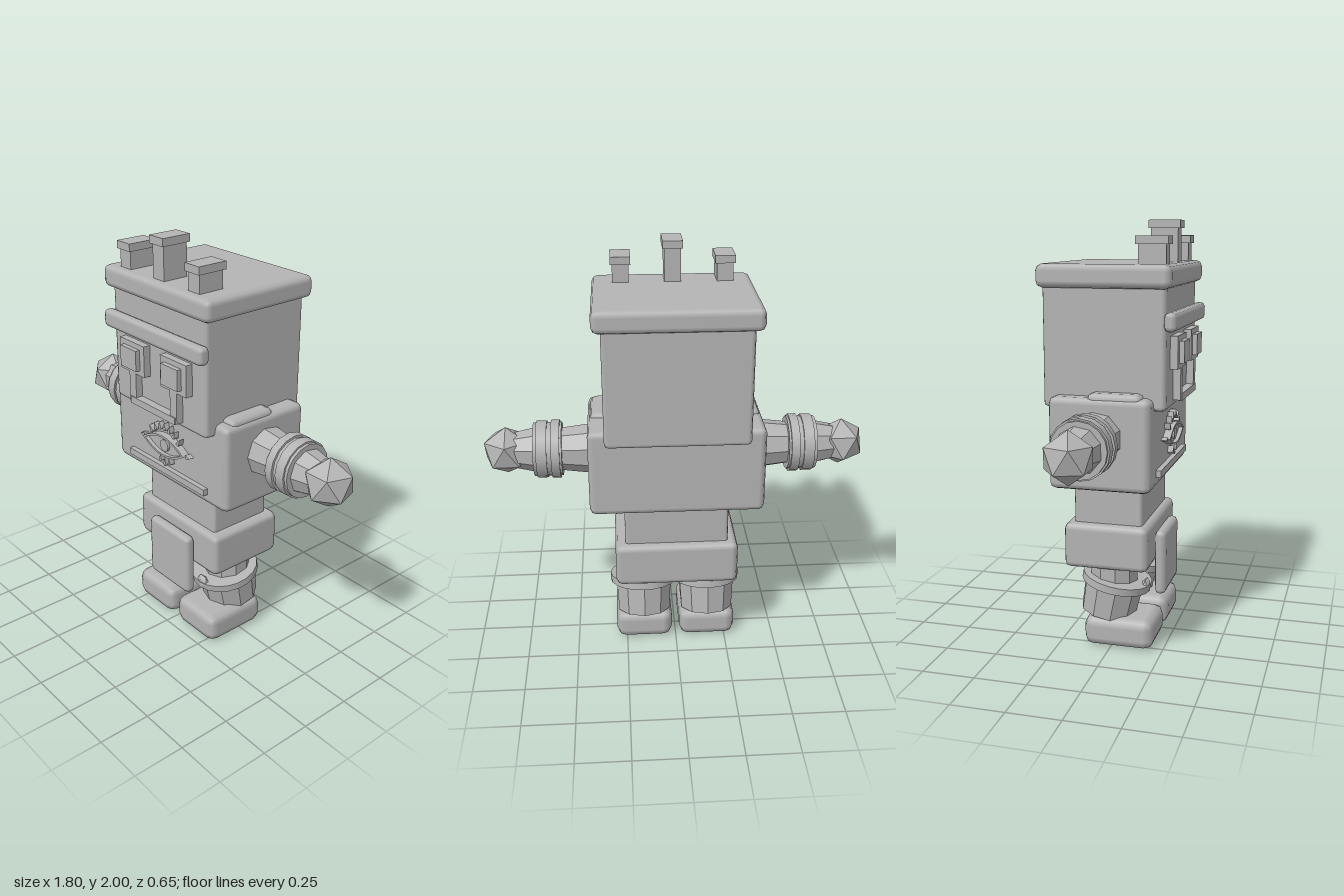
import * as THREE from 'three';
import { RoundedBoxGeometry } from 'three/addons/geometries/RoundedBoxGeometry.js';

const grey = new THREE.MeshStandardMaterial({ color: 0xb4b4b4 });
grey.name = 'grey';

export function createModel() {
  const root = new THREE.Group();
  root.name = 'robot';

  const add = (name, geometry, x = 0, y = 0, z = 0, parent = root) => {
    const mesh = new THREE.Mesh(geometry, grey);
    mesh.name = name;
    mesh.position.set(x, y, z);
    parent.add(mesh);
    return mesh;
  };
  // Box given by its limits on each axis, chamfered when bevel > 0
  const block = (name, [x0, x1], [y0, y1], [z0, z1], bevel = 0, parent = root) => {
    const size = [x1 - x0, y1 - y0, z1 - z0];
    const geometry = bevel
      ? new RoundedBoxGeometry(...size, 1, bevel)
      : new THREE.BoxGeometry(...size);
    return add(name, geometry, (x0 + x1) / 2, (y0 + y1) / 2, (z0 + z1) / 2, parent);
  };
  const plate = (name, shape, depth, x, y, z) =>
    add(name, new THREE.ExtrudeGeometry(shape, { depth, bevelEnabled: false, curveSegments: 8 }), x, y, z);
  const faceted = (geometry) => {
    const g = geometry.index ? geometry.toNonIndexed() : geometry;
    g.computeVertexNormals();
    return g;
  };

  // Head with lid and brow band
  block('head', [-0.335, 0.335], [1.165, 1.73], [-0.3, 0.27], 0.02);
  block('headLid', [-0.375, 0.375], [1.705, 1.81], [-0.322, 0.298], 0.03);
  block('browBand', [-0.355, 0.355], [1.52, 1.605], [0.262, 0.318], 0.022);

  // Chimneys on the lid
  for (const [x, top] of [[-0.243, 1.93], [0, 2], [0.24, 1.93]]) {
    block('chimney', [x - 0.038, x + 0.038], [1.79, top - 0.03], [0.13, 0.257]);
    block('chimneyCap', [x - 0.047, x + 0.047], [top - 0.036, top], [0.12, 0.268]);
  }

  // Face: eye plates joined to the mouth by two bars
  for (const s of [-1, 1]) {
    const span = (a, b) => (s > 0 ? [a, b] : [-b, -a]);
    block('eyePlate', span(0.06, 0.243), [1.345, 1.495], [0.25, 0.305]);
    block('pupil', span(0.092, 0.21), [1.37, 1.47], [0.3, 0.328]);
    block('cheekBar', span(0.127, 0.175), [1.195, 1.345], [0.25, 0.305]);
  }
  block('mouth', [-0.165, 0.165], [1.19, 1.224], [0.25, 0.31]);

  // Torso and shoulder pads
  block('torso', [-0.412, 0.412], [0.8, 1.225], [-0.255, 0.218], 0.03);
  for (const s of [-1, 1])
    block('shoulderPad', s > 0 ? [0.24, 0.4] : [-0.4, -0.24], [1.1, 1.246], [-0.08, 0.175], 0.03);
  block('chestBar', [-0.285, 0.285], [0.854, 0.886], [0.2, 0.243]);

  // Eye emblem on the chest
  const lens = (w, h) => {
    const s = new THREE.Shape();
    s.moveTo(-w, 0);
    s.quadraticCurveTo(0, -h * 2, w, 0);
    s.quadraticCurveTo(0, h * 2, -w, 0);
    return s;
  };
  const rim = lens(0.155, 0.053);
  rim.holes.push(lens(0.135, 0.043));
  plate('emblemRim', rim, 0.05, 0, 1.005, 0.205);
  plate('emblemLens', lens(0.14, 0.045), 0.03, 0, 1.005, 0.205);
  const iris = new THREE.Shape();
  iris.absarc(0, 0, 0.03, 0, Math.PI * 2);
  plate('emblemIris', iris, 0.042, 0, 1.005, 0.205);

  const drop = (len, w) => {
    const s = new THREE.Shape();
    s.moveTo(0, len);
    s.lineTo(-w * 0.6, len * 0.4);
    s.quadraticCurveTo(-w, -len * 0.1, 0, 0);
    s.quadraticCurveTo(w, -len * 0.1, w * 0.6, len * 0.4);
    return s;
  };
  for (let i = -3; i <= 3; i++) {
    const lash = plate('emblemLash', drop(0.036, 0.013), 0.04,
      i * 0.032, 1.083 - i * i * 0.0045, 0.205);
    lash.rotation.z = -i * 0.17;
  }
  for (const i of [-1, 0, 1])
    plate('emblemDrop', drop(i ? 0.034 : 0.042, 0.011), 0.04, i * 0.033, i ? 0.914 : 0.9, 0.205);
  for (const s of [-1, 1]) {
    const tip = plate('emblemTip', drop(0.032, 0.013), 0.04, s * 0.155, 1.005, 0.205);
    tip.rotation.z = -s * Math.PI / 2;
  }

  // Waist, hips and apron
  block('waist', [-0.25, 0.25], [0.58, 0.82], [-0.185, 0.145], 0.015);
  block('hips', [-0.298, 0.298], [0.385, 0.603], [-0.226, 0.18], 0.03);
  block('apron', [-0.152, 0.15], [0.232, 0.55], [0.18, 0.235], 0.025);

  // Arms: built along +x, turned round for the other side
  for (const s of [-1, 1]) {
    const arm = new THREE.Group();
    arm.name = s > 0 ? 'leftArm' : 'rightArm';
    arm.position.set(0, 1.05, -0.027);
    if (s < 0) arm.rotation.y = Math.PI;
    if (s < 0) arm.scale.z = 1;
    root.add(arm);
    // Tube from x0 to x1 with radius r0 to r1
    const segment = (name, x0, x1, r0, r1, sides, flat) => {
      let g = new THREE.CylinderGeometry(r1, r0, x1 - x0, sides);
      if (flat) g = faceted(g);
      g.rotateZ(-Math.PI / 2);
      add(name, g, (x0 + x1) / 2, 0, 0, arm);
    };
    segment('upperArm', 0.38, 0.56, 0.122, 0.1, 9, true);
    segment('cuff', 0.535, 0.67, 0.128, 0.128, 16, false);
    segment('cuffBandInner', 0.545, 0.585, 0.139, 0.139, 16, false);
    segment('cuffBandOuter', 0.605, 0.655, 0.136, 0.136, 16, false);
    segment('wrist', 0.66, 0.765, 0.108, 0.085, 9, true);
    const hand = new THREE.IcosahedronGeometry(0.118, 0);
    hand.rotateZ(-0.5536);
    hand.rotateY(Math.PI / 10);
    add('hand', hand, 0.8, 0, 0, arm);
  }

  // Legs: thigh, tilted shin with knee ring and stud, and foot
  for (const s of [-1, 1]) {
    const leg = new THREE.Group();
    leg.name = s > 0 ? 'leftLeg' : 'rightLeg';
    leg.position.x = s * 0.16;
    root.add(leg);
    add('thigh', faceted(new THREE.CylinderGeometry(0.116, 0.116, 0.16, 10)), 0, 0.34, -0.015, leg);

    const shin = new THREE.Group();
    shin.name = 'shin';
    shin.position.set(0, 0.235, -0.025);
    shin.rotation.x = 0.19;
    leg.add(shin);
    add('shinBody', faceted(new THREE.CylinderGeometry(0.145, 0.135, 0.17, 10)), 0, -0.01, 0, shin);
    add('kneeRing', new THREE.CylinderGeometry(0.168, 0.168, 0.036, 20), 0, 0.073, 0.012, shin);
    const stud = add('kneeStud', new THREE.IcosahedronGeometry(0.042, 0), s * 0.01, 0.283, 0.148, leg);
    stud.scale.z = 0.5;

    block('foot', [-0.142, 0.142], [0, 0.146], [-0.132, 0.206], 0.045, leg);
  }

  return root;
}
